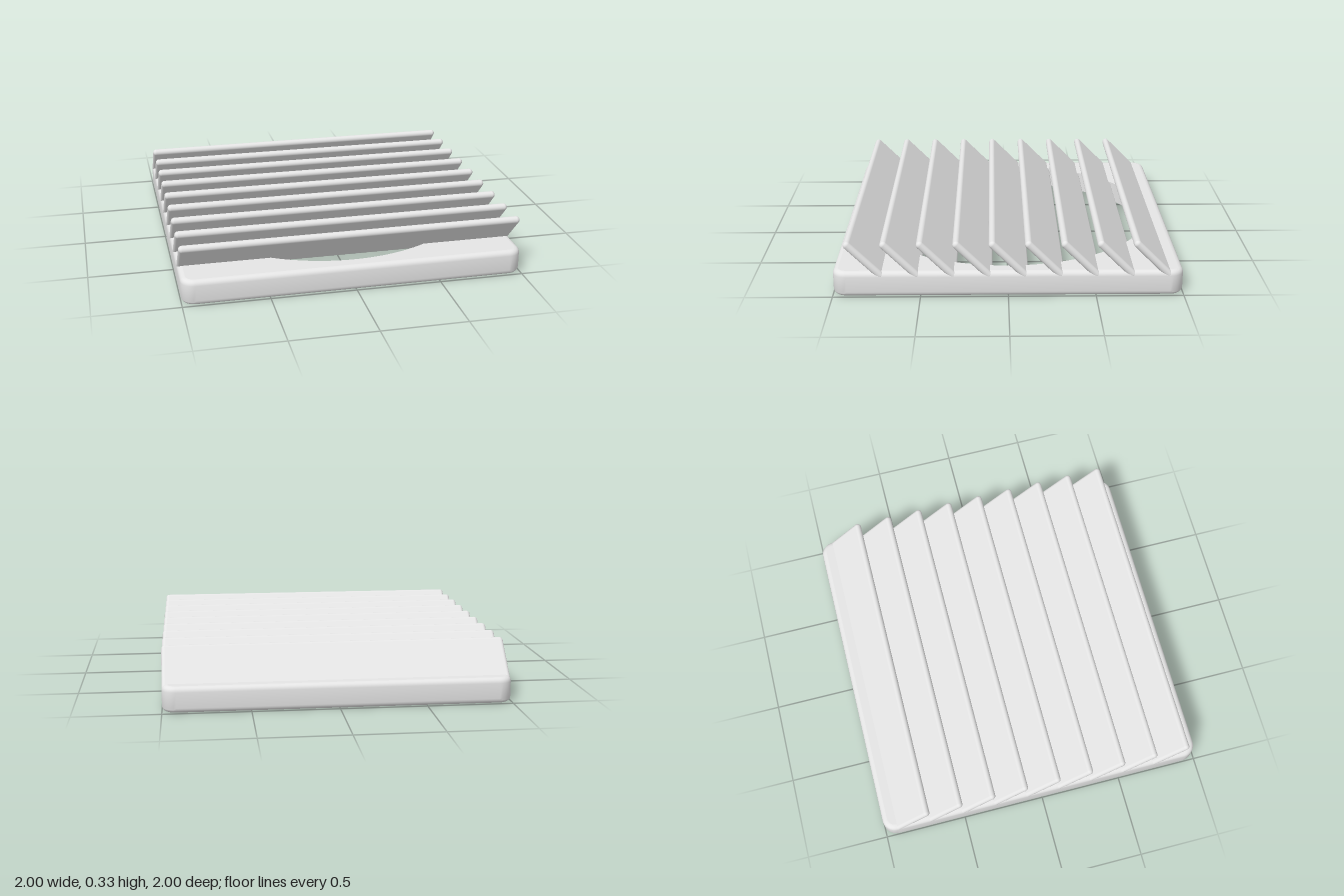
import * as THREE from 'three';
import { toCreasedNormals, mergeVertices } from 'three/addons/utils/BufferGeometryUtils.js';
import { RoundedBoxGeometry } from 'three/addons/geometries/RoundedBoxGeometry.js';

const HEIGHT = 0.15, HOLE = 0.905, CORNER = 0.08, EDGE = 0.03, RIM = 0.05, UNDER = 0.07;

// Points of a rounded square lying in the xz plane, shrunk by an inset
function squareLoop(inset, steps = 8) {
  const pts = [], c = 1 - CORNER, r = CORNER - inset;
  for (let q = 0; q < 4; q++) {
    const mid = Math.PI / 4 + q * Math.PI / 2;
    for (let i = 0; i <= steps; i++) {
      const a = (q + i / steps) * Math.PI / 2;
      pts.push([Math.sign(Math.cos(mid)) * c + r * Math.cos(a), Math.sign(Math.sin(mid)) * c + r * Math.sin(a)]);
    }
  }
  return pts;
}

// Skin swept round the square from an [inset, y] profile
function rimGeometry(profile) {
  const loops = profile.map(([inset]) => squareLoop(inset));
  const n = loops[0].length, pos = [], idx = [];
  loops.forEach((loop, j) => loop.forEach(([x, z]) => pos.push(x, profile[j][1], z)));
  for (let j = 0; j < profile.length - 1; j++) {
    for (let i = 0; i < n; i++) {
      const a = j * n + i, b = j * n + (i + 1) % n;
      idx.push(a, a + n, b, b, a + n, b + n);
    }
  }
  const g = new THREE.BufferGeometry();
  g.setAttribute('position', new THREE.Float32BufferAttribute(pos, 3));
  g.setIndex(idx);
  return toCreasedNormals(mergeVertices(g), 0.6);
}

// Flat piece extruded upward between two heights
function slab(shape, y0, y1) {
  const g = new THREE.ExtrudeGeometry(shape, { depth: y1 - y0, bevelEnabled: false, curveSegments: 64 });
  g.rotateX(-Math.PI / 2).translate(0, y0, 0);
  return toCreasedNormals(g, 0.5);
}

export function createModel() {
  const model = new THREE.Group();
  const grey = new THREE.MeshStandardMaterial({ color: 0xe5e5e5 });
  grey.name = 'light grey';
  const add = (name, geometry) => {
    const mesh = new THREE.Mesh(geometry, grey);
    mesh.name = name;
    model.add(mesh);
    return mesh;
  };

  // Rim with rounded outer edges and a straight inner wall
  const profile = [[RIM, UNDER], [RIM, 0]];
  for (let i = 0; i <= 5; i++) {
    const a = i / 5 * Math.PI / 2;
    profile.push([EDGE - EDGE * Math.sin(a), EDGE - EDGE * Math.cos(a)]);
  }
  for (let i = 0; i <= 5; i++) {
    const a = i / 5 * Math.PI / 2;
    profile.push([EDGE - EDGE * Math.cos(a), HEIGHT - EDGE + EDGE * Math.sin(a)]);
  }
  add('rim', rimGeometry(profile));

  // Top plate with the round opening
  const plate = new THREE.Shape(squareLoop(EDGE).map(([x, z]) => new THREE.Vector2(x, z)));
  plate.holes.push(new THREE.Path().absarc(0, 0, HOLE, 0, Math.PI * 2, true));
  add('topPlate', slab(plate, UNDER, HEIGHT));

  // Corner pads underneath, set in from the rim and cut by the opening
  const out = 0.893, round = 0.04, a0 = Math.acos(out / HOLE), tip = HOLE * Math.sin(a0);
  const pad = new THREE.Shape();
  pad.moveTo(out, tip);
  pad.absarc(out - round, out - round, round, 0, Math.PI / 2, false);
  pad.lineTo(tip, out);
  pad.absarc(0, 0, HOLE, Math.PI / 2 - a0, a0, true);
  const padGeometry = slab(pad, 0.02, UNDER);
  for (let q = 0; q < 4; q++) add('cornerPad' + (q + 1), padGeometry).rotation.y = q * Math.PI / 2;

  // Nine slanted slats rising toward the front, their feet sunk in the plate
  const slat = new RoundedBoxGeometry(2, 0.044, 0.3, 4, 0.0215);
  for (let i = 0; i < 9; i++) {
    const mesh = add('slat' + (i + 1), slat);
    mesh.position.set(0, 0.2175, 0.8165 - i * 0.2045);
    mesh.rotation.x = -Math.PI / 4;
  }
  return model;
}
